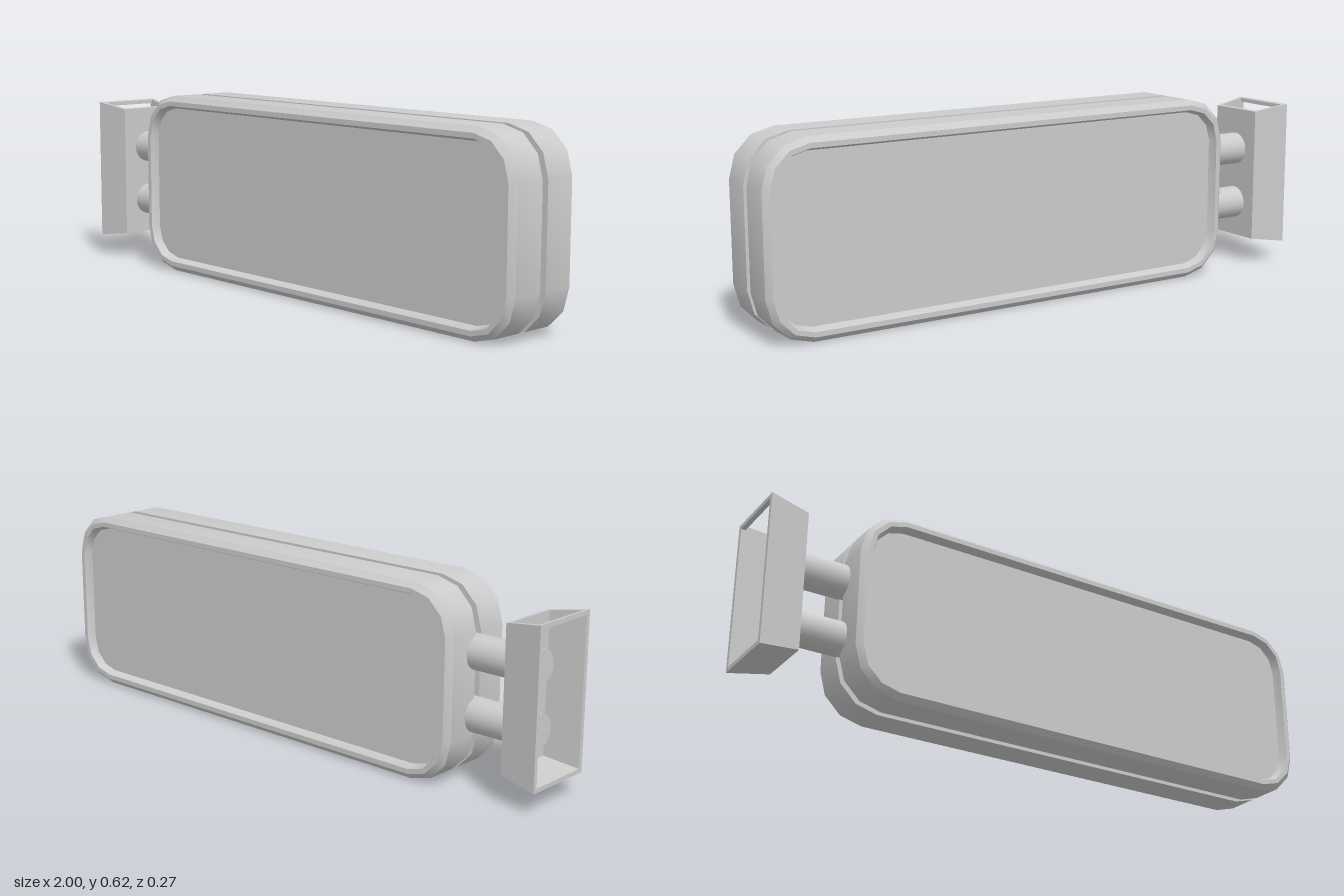
import * as THREE from 'three';
import { toCreasedNormals } from 'three/addons/utils/BufferGeometryUtils.js';

const material = new THREE.MeshStandardMaterial({ color: 0xcccccc });
const WIDTH = 1.7, HEIGHT = 0.615, RADIUS = 0.148, CORNER_STEPS = 3;
const CENTRE_X = 0.15, CENTRE_Y = HEIGHT / 2;

// Rounded rectangle outline, counter-clockwise, shrunk by an inset
function outline(inset) {
  const points = [], r = RADIUS - inset;
  const signs = [[1, 1], [-1, 1], [-1, -1], [1, -1]];
  signs.forEach(([sx, sy], corner) => {
    for (let k = 0; k <= CORNER_STEPS; k++) {
      const a = (corner + k / CORNER_STEPS) * Math.PI / 2;
      points.push([
        sx * (WIDTH / 2 - RADIUS) + r * Math.cos(a),
        sy * (HEIGHT / 2 - RADIUS) + r * Math.sin(a),
      ]);
    }
  });
  return points;
}

// Sweeps a profile of [inset, z] points around the outline; caps the last ring if asked
function sweepProfile(profile, cap) {
  const positions = [], index = [];
  const count = 4 * (CORNER_STEPS + 1);
  for (const [inset, z] of profile) {
    for (const [x, y] of outline(inset)) positions.push(x, y, z);
  }
  for (let i = 0; i < profile.length - 1; i++) {
    for (let j = 0; j < count; j++) {
      const k = (j + 1) % count;
      const a = i * count + j, b = i * count + k;
      index.push(a, b, b + count, a, b + count, a + count);
    }
  }
  if (cap) {
    const first = (profile.length - 1) * count;
    for (let j = 1; j < count - 1; j++) index.push(first, first + j, first + j + 1);
  }
  const geometry = new THREE.BufferGeometry();
  geometry.setAttribute('position', new THREE.Float32BufferAttribute(positions, 3));
  geometry.setIndex(index);
  return toCreasedNormals(geometry, 0.6);
}

function addMesh(parent, name, geometry, x = 0, y = 0, z = 0) {
  const mesh = new THREE.Mesh(geometry, material);
  mesh.name = name;
  mesh.position.set(x, y, z);
  parent.add(mesh);
  return mesh;
}

// Bracket wall: a box narrowed in y and z towards the sign
const BRACKET = { x0: -1, x1: -0.87, halfY: 0.248, halfZ: 0.122, y: 0.318 };
function bracketWall(x0, x1, y0, y1, z0, z1) {
  let geometry = new THREE.BoxGeometry(x1 - x0, y1 - y0, z1 - z0);
  geometry.translate((x0 + x1) / 2, (y0 + y1) / 2, (z0 + z1) / 2);
  const p = geometry.attributes.position;
  for (let i = 0; i < p.count; i++) {
    const t = (p.getX(i) - BRACKET.x0) / (BRACKET.x1 - BRACKET.x0);
    p.setY(i, p.getY(i) * (1 - 0.08 * t));
    p.setZ(i, p.getZ(i) * (1 - 0.17 * t));
  }
  geometry = geometry.toNonIndexed();
  geometry.computeVertexNormals();
  return geometry;
}

export function createModel() {
  const model = new THREE.Group();
  model.name = 'wallSign';

  // Two bevelled half shells with recessed faces
  const shell = sweepProfile([
    [0.04, 0.012], [0, 0.012], [0, 0.118], [0.018, 0.136],
    [0.034, 0.136], [0.044, 0.108],
  ], true);
  addMesh(model, 'frontShell', shell, CENTRE_X, CENTRE_Y);
  addMesh(model, 'backShell', shell, CENTRE_X, CENTRE_Y).rotation.y = Math.PI;

  // Inset core visible in the groove between the shells
  const core = sweepProfile([[0.03, -0.014], [0.03, 0.014]], false);
  addMesh(model, 'core', core, CENTRE_X, CENTRE_Y);

  // Two support tubes running through the bracket plate
  const tube = new THREE.CylinderGeometry(0.055, 0.055, 0.26, 24);
  tube.rotateZ(Math.PI / 2);
  addMesh(model, 'upperTube', tube, -0.8, 0.405);
  addMesh(model, 'lowerTube', tube, -0.8, 0.21);

  // Hollow tapered wall bracket, open at the wall side and the top
  const bracket = new THREE.Group();
  bracket.name = 'bracket';
  bracket.position.y = BRACKET.y;
  model.add(bracket);
  const { x0, x1, halfY: h, halfZ: d } = BRACKET, t = 0.014;
  addMesh(bracket, 'bracketFront', bracketWall(x0, x1, -h, h, d - t, d));
  addMesh(bracket, 'bracketBack', bracketWall(x0, x1, -h, h, -d, t - d));
  addMesh(bracket, 'bracketPlate', bracketWall(x1 - t, x1, -h, h, t - d, d - t));
  addMesh(bracket, 'bracketFloor', bracketWall(x0, x1 - t, -h, t - h, t - d, d - t));
  addMesh(bracket, 'bracketTopBar', bracketWall(x0, x0 + t, h - t, h, t - d, d - t));

  return model;
}
